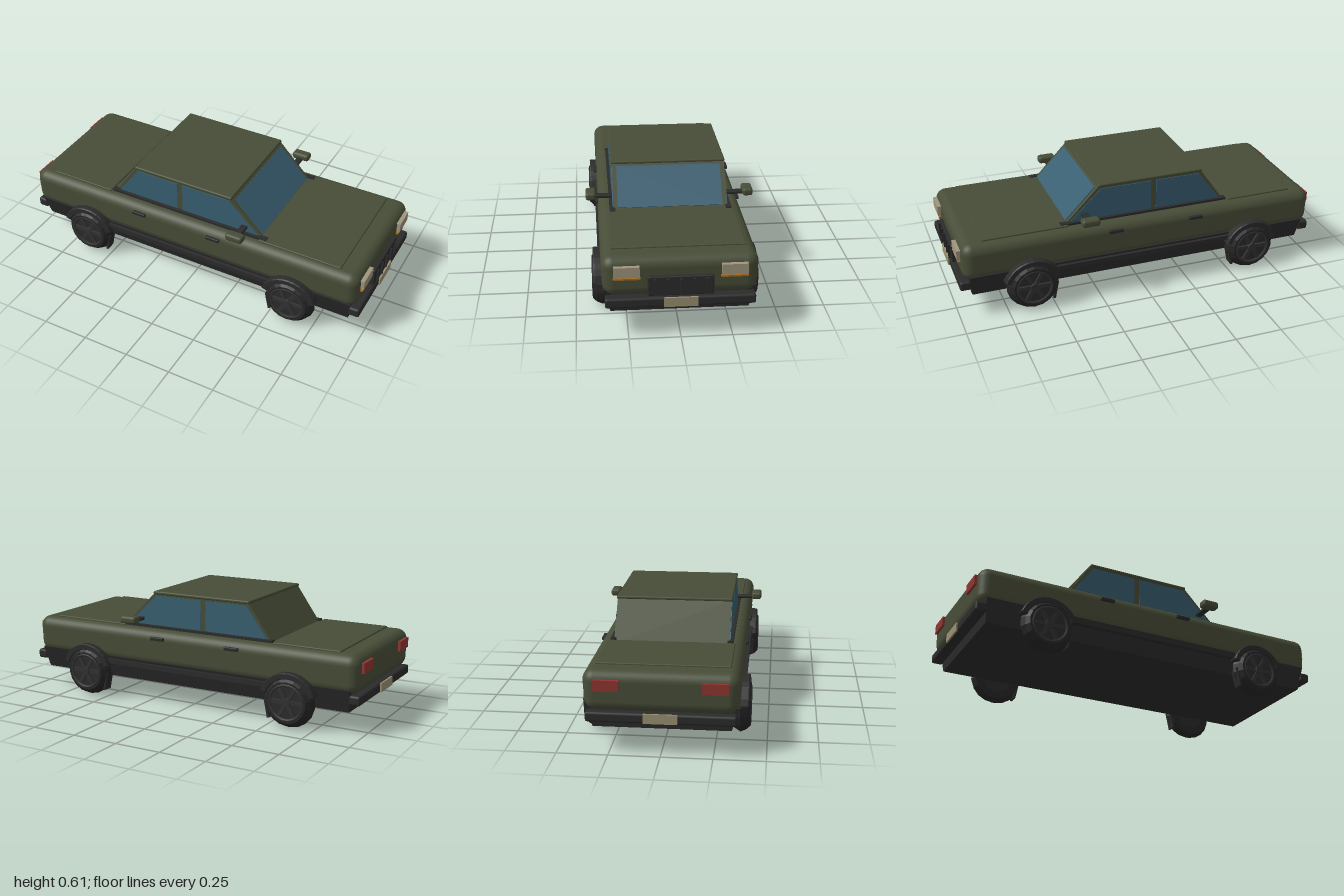
import * as THREE from 'three';
import { RoundedBoxGeometry } from 'three/addons/geometries/RoundedBoxGeometry.js';

export function createModel() {
  const car = new THREE.Group();
  car.name = 'sedan';
  const mat = (name, color, flatShading = false) => {
    const m = new THREE.MeshStandardMaterial({ color, flatShading });
    m.name = name;
    return m;
  };
  const paint = mat('olivePaint', 0x474d37);
  const trim = mat('blackTrim', 0x2b2b2c);
  const rubber = mat('tyreRubber', 0x262626, true);
  const rimGrey = mat('rimGrey', 0x323234);
  const glass = mat('blueGlass', 0x395f71);
  const lamp = mat('headlightCream', 0xa0967e);
  const plateCream = mat('plateCream', 0x9a9072);
  const amber = mat('amber', 0xa86a1c);
  const red = mat('tailRed', 0x8f3630);

  const add = (name, geo, material, x = 0, y = 0, z = 0, parent = car) => {
    const m = new THREE.Mesh(geo, material);
    m.name = name;
    m.position.set(x, y, z);
    parent.add(m);
    return m;
  };
  // box given by its min and max on each axis
  const box = (name, material, x0, x1, y0, y1, z0, z1, r = 0, parent = car) => {
    const s = [x1 - x0, y1 - y0, z1 - z0];
    const g = r ? new RoundedBoxGeometry(...s, 2, r) : new THREE.BoxGeometry(...s);
    return add(name, g, material, (x0 + x1) / 2, (y0 + y1) / 2, (z0 + z1) / 2, parent);
  };
  // side-view polygon extruded along z, starting at z0
  const slab = (name, material, pts, z0, depth) => {
    const shape = new THREE.Shape(pts.map(p => new THREE.Vector2(...p)));
    return add(name, new THREE.ExtrudeGeometry(shape, { depth, bevelEnabled: false }), material, 0, 0, z0);
  };

  // body shell, narrowing a little towards the sills
  const bodyGeo = new RoundedBoxGeometry(1.95, 0.205, 0.75, 4, 0.055);
  const bp = bodyGeo.attributes.position;
  for (let i = 0; i < bp.count; i++) {
    const k = Math.max(0, -bp.getY(i)) / 0.1;
    bp.setZ(i, bp.getZ(i) * (1 - 0.03 * k));
  }
  add('bodyShell', bodyGeo, paint, -0.005, 0.3125, 0);

  // black lower body, tapering downwards
  const lowGeo = new THREE.BoxGeometry(1.88, 0.12, 0.74);
  const lp = lowGeo.attributes.position;
  for (let i = 0; i < lp.count; i++) {
    if (lp.getY(i) < 0) {
      lp.setZ(i, lp.getZ(i) * 0.9);
      lp.setX(i, lp.getX(i) * 0.985);
    }
  }
  lowGeo.computeVertexNormals();
  add('lowerBody', lowGeo, trim, 0, 0.18, 0);

  // bonnet and boot lids
  box('bonnet', paint, 0.4, 0.86, 0.40, 0.423, -0.325, 0.325, 0.005);
  box('bootLid', paint, -0.87, -0.5, 0.40, 0.423, -0.325, 0.325, 0.005);

  // cabin
  slab('cabin', paint, [[-0.49, 0.4], [0.425, 0.4], [0.225, 0.605], [-0.345, 0.605]], -0.295, 0.59);
  box('roof', paint, -0.352, 0.23, 0.598, 0.615, -0.302, 0.302, 0.007);
  const screen = add('windscreen', new THREE.BoxGeometry(0.232, 0.006, 0.545), glass, 0.321, 0.509, 0);
  screen.rotation.z = Math.atan2(-0.205, 0.2);

  for (const s of [1, -1]) {
    // side glass and sill trim
    const zg = s > 0 ? 0.292 : -0.299;
    slab('rearSideWindow', glass, [[-0.455, 0.428], [-0.092, 0.428], [-0.092, 0.59], [-0.335, 0.59]], zg, 0.007);
    slab('frontSideWindow', glass, [[-0.062, 0.428], [0.385, 0.428], [0.215, 0.59], [-0.062, 0.59]], zg, 0.007);
    const side = (name, m, x0, x1, y0, y1, z0, z1, r) =>
      box(name, m, x0, x1, y0, y1, Math.min(s * z0, s * z1), Math.max(s * z0, s * z1), r);
    side('windowTrim', trim, -0.49, 0.44, 0.41, 0.427, 0.285, 0.315);
    side('sillStrip', trim, -0.5, 0.5, 0.2, 0.226, 0.35, 0.384);
    for (const x of [-0.29, 0.16]) side('doorHandle', trim, x - 0.04, x + 0.04, 0.364, 0.382, 0.37, 0.388, 0.004);

    // mirror
    side('mirrorArm', trim, 0.29, 0.325, 0.45, 0.467, 0.29, 0.39, 0.005);
    side('mirrorHead', paint, 0.262, 0.358, 0.45, 0.49, 0.383, 0.437, 0.014);

    // lamps
    side('headlight', lamp, 0.95, 0.988, 0.325, 0.378, 0.194, 0.318);
    side('indicator', amber, 0.95, 0.984, 0.311, 0.319, 0.19, 0.32);
    side('tailLight', red, -0.993, -0.95, 0.322, 0.375, 0.195, 0.32);
  }

  // grille with upright slats
  box('grille', trim, 0.95, 0.988, 0.225, 0.325, -0.157, 0.157, 0.006);
  for (let i = -2; i <= 2; i++)
    box('grilleSlat', trim, 0.98, 0.999, 0.238, 0.315, i * 0.062 - 0.005, i * 0.062 + 0.005);

  // bumpers and number plates
  for (const s of [1, -1]) {
    const ends = (a, b) => (s > 0 ? [a, b] : [-b, -a]);
    box('bumper', trim, ...ends(0.93, 0.99), 0.165, 0.215, -0.36, 0.36, 0.012);
    box('numberPlate', plateCream, ...ends(0.988, 0.997), 0.169, 0.217, -0.081, 0.081);
  }

  // wheels and arches
  const R = [[0.085, -0.038], [0.122, -0.038], [0.14, -0.008], [0.127, 0.022], [0.108, 0.042], [0.096, 0.042], [0.092, 0.026]];
  const tyreGeo = new THREE.LatheGeometry(R.map(p => new THREE.Vector2(...p)), 18).rotateX(Math.PI / 2);
  const discGeo = new THREE.CylinderGeometry(0.097, 0.097, 0.06, 18).rotateX(Math.PI / 2);
  const hubGeo = new THREE.CylinderGeometry(0.022, 0.026, 0.016, 12).rotateX(Math.PI / 2);
  const ringGeo = new THREE.TorusGeometry(0.092, 0.008, 6, 18);
  const spokeGeo = new THREE.BoxGeometry(0.075, 0.02, 0.012).translate(0.052, 0, 0);
  const arch = new THREE.Shape();
  const a0 = 0.1 * Math.PI, a1 = 0.9 * Math.PI;
  arch.absarc(0, 0, 0.157, a0, a1, false);
  arch.absarc(0, 0, 0.125, a1, a0, true);
  const archGeo = new THREE.ExtrudeGeometry(arch, {
    depth: 0.06, curveSegments: 6, bevelThickness: 0.006, bevelSize: 0.004, bevelOffset: -0.004, bevelSegments: 1,
  });
  for (const x of [0.615, -0.62]) {
    for (const s of [1, -1]) {
      const wheel = new THREE.Group();
      wheel.name = (x > 0 ? 'front' : 'rear') + 'Wheel';
      wheel.position.set(x, 0.145, s * 0.373);
      if (s < 0) wheel.rotation.y = Math.PI;
      car.add(wheel);
      add('tyre', tyreGeo, rubber, 0, 0, 0, wheel);
      add('rimDisc', discGeo, trim, 0, 0, -0.004, wheel);
      add('rimRing', ringGeo, rimGrey, 0, 0, 0.037, wheel);
      add('hub', hubGeo, rimGrey, 0, 0, 0.036, wheel);
      for (let i = 0; i < 6; i++)
        add('spoke', spokeGeo, rimGrey, 0, 0, 0.032, wheel).rotation.z = (i * Math.PI) / 3;
      add('wheelArch', archGeo, trim, 0, -0.006, -0.03, wheel);
      // mud flap on the inward side of each wheel
      const flap = add('mudFlap', new THREE.BoxGeometry(0.012, 0.1, 0.055), trim,
        x - Math.sign(x) * 0.118, 0.095, s * 0.365);
      flap.rotation.z = Math.sign(x) * 0.2;
    }
  }
  return car;
}
